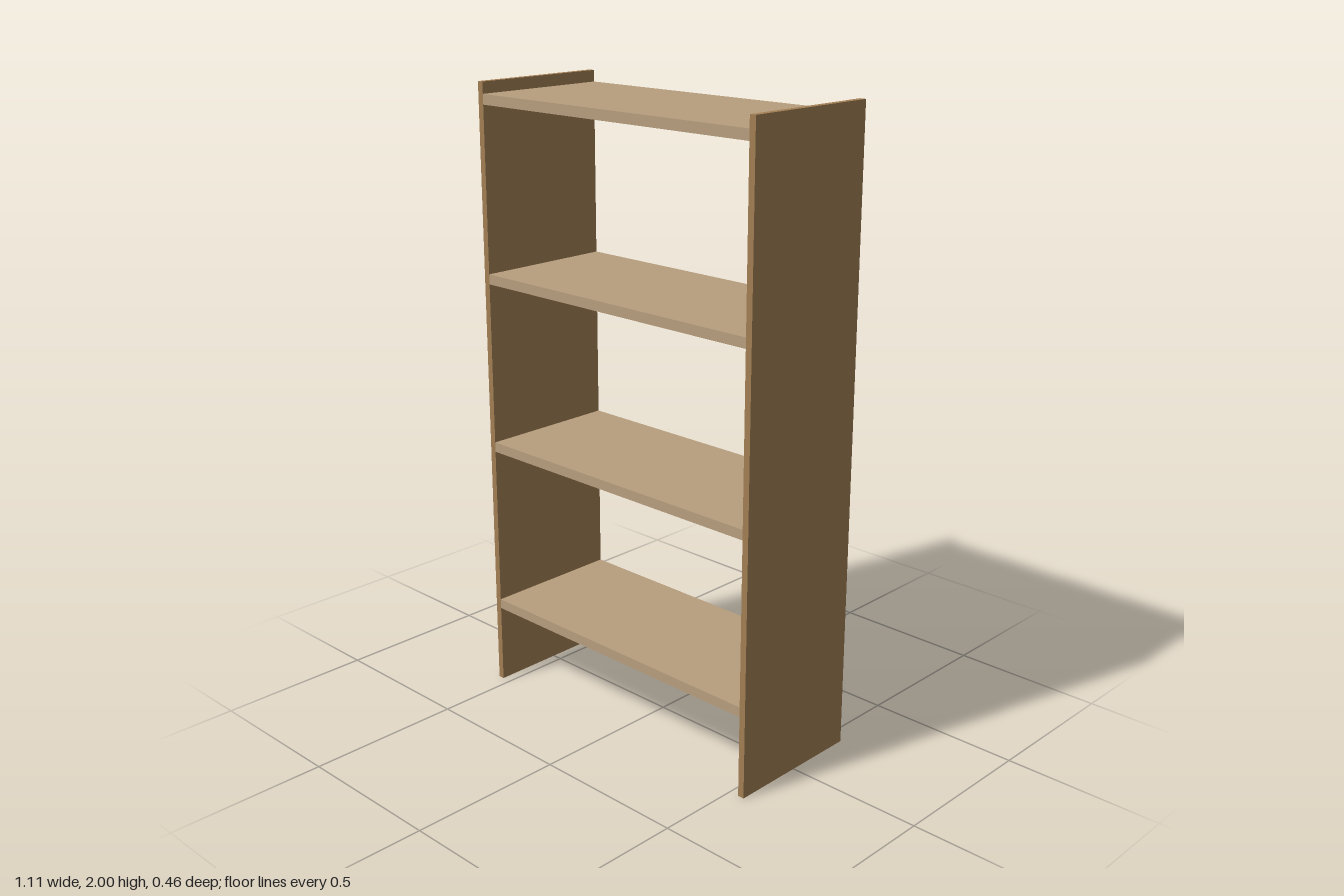
import * as THREE from 'three';

export function createModel() {
  const model = new THREE.Group();
  model.name = 'shelvingUnit';

  const sideWood = new THREE.MeshStandardMaterial({ color: 0xa37f54 });
  const shelfWood = new THREE.MeshStandardMaterial({ color: 0xb89f7e });

  const width = 1.107, height = 2, depth = 0.463;
  const panelThickness = 0.021, shelfThickness = 0.032;

  function addBoard(name, size, position, material) {
    const board = new THREE.Mesh(new THREE.BoxGeometry(...size), material);
    board.name = name;
    board.position.set(...position);
    model.add(board);
  }

  // Upright side panels
  for (const [name, side] of [['leftPanel', 1], ['rightPanel', -1]]) {
    const x = side * (width - panelThickness) / 2;
    addBoard(name, [panelThickness, height, depth], [x, height / 2, 0], sideWood);
  }

  // Four evenly spaced shelves between the panels
  const shelfWidth = width - 2 * panelThickness;
  for (let i = 0; i < 4; i++) {
    const y = 0.278 + i * 0.5565;
    addBoard(`shelf${i + 1}`, [shelfWidth, shelfThickness, depth], [0, y, 0], shelfWood);
  }

  return model;
}
